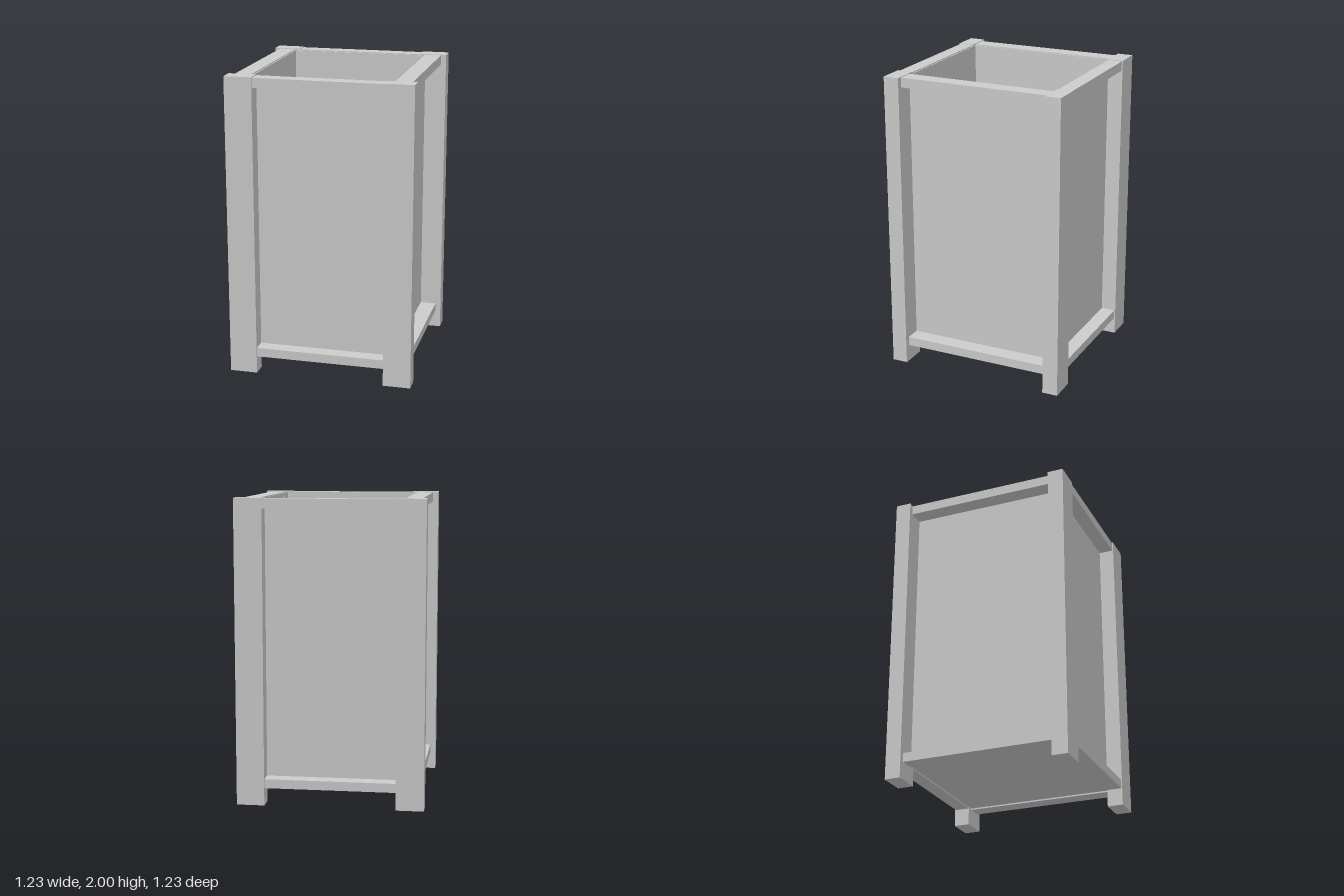
import * as THREE from 'three';

export function createModel() {
  const group = new THREE.Group();
  const material = new THREE.MeshStandardMaterial({ color: 0xcccccc });

  // box given by its lower and upper corner
  function box(name, x0, x1, y0, y1, z0, z1) {
    const mesh = new THREE.Mesh(new THREE.BoxGeometry(x1 - x0, y1 - y0, z1 - z0), material);
    mesh.position.set((x0 + x1) / 2, (y0 + y1) / 2, (z0 + z1) / 2);
    mesh.name = name;
    group.add(mesh);
  }
  // box mirrored to the other side when s is -1
  const span = (s, a, b) => (s > 0 ? [a, b] : [-b, -a]);

  const postX = 0.43, postZ = 0.508, outer = 0.613;
  const wallX = 0.46, wallZ = 0.502, thick = 0.008;
  const railLevels = [['lower', 0.115, 0.175], ['upper', 1.932, 1.996]];

  for (const s of [1, -1]) {
    const side = s > 0 ? 'left' : 'right';
    const end = s > 0 ? 'front' : 'back';

    // corner posts
    for (const t of [1, -1]) {
      box(`${end}${t > 0 ? 'Left' : 'Right'}Post`,
        ...span(t, postX, outer), 0, 2, ...span(s, postZ, outer));
    }

    // rails between the posts
    for (const [level, y0, y1] of railLevels) {
      box(`${level} ${end} rail`, -postX, postX, y0, y1, ...span(s, wallZ + thick, 0.606));
      box(`${level} ${side} rail`, ...span(s, wallX + thick, 0.577), y0, y1, -postZ, postZ);
    }

    // thin wall panels of the open liner
    box(`${end} panel`, -wallX - thick, wallX + thick, 0.125, 1.99, ...span(s, wallZ, wallZ + thick));
    box(`${side} panel`, ...span(s, wallX, wallX + thick), 0.125, 1.99, -wallZ, wallZ);
  }

  // floor of the liner
  box('floor', -wallX, wallX, 0.125, 0.14, -wallZ, wallZ);

  // small eyelet on the inside of the left wall
  const eyelet = new THREE.Mesh(new THREE.TorusGeometry(0.012, 0.005, 8, 16), material);
  eyelet.rotation.y = Math.PI / 2;
  eyelet.position.set(wallX - 0.003, 1.95, 0.335);
  eyelet.name = 'eyelet';
  group.add(eyelet);

  return group;
}
